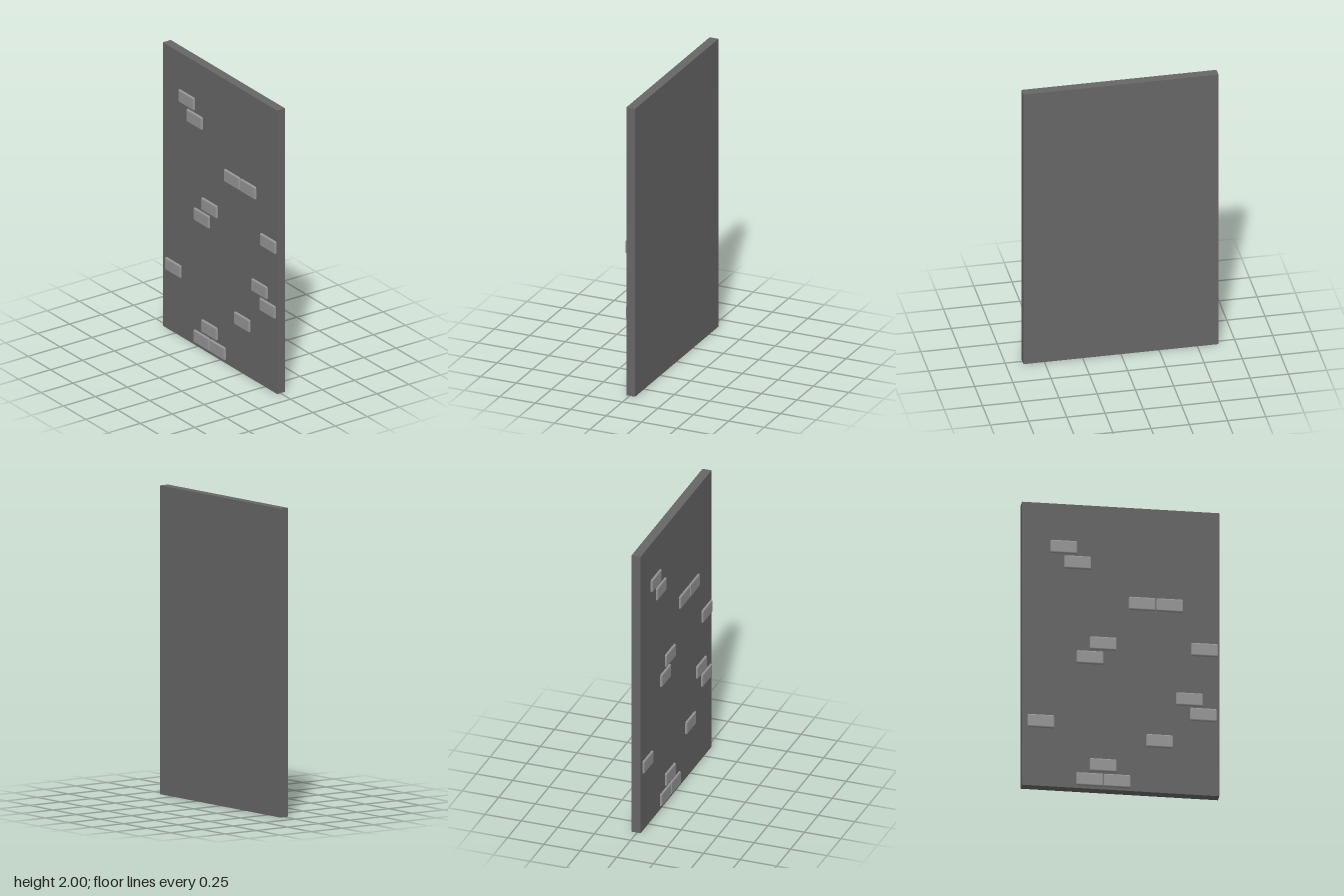
import * as THREE from 'three';
import { RoundedBoxGeometry } from 'three/addons/geometries/RoundedBoxGeometry.js';

export function createModel() {
  const group = new THREE.Group();
  const wallMaterial = new THREE.MeshStandardMaterial({ color: 0x666666 });
  const brickMaterial = new THREE.MeshStandardMaterial({ color: 0x959595 });

  // Plain wall slab
  const wall = new THREE.Mesh(new THREE.BoxGeometry(1.275, 2, 0.062), wallMaterial);
  wall.name = 'wall';
  wall.position.set(0, 1, -0.006);
  group.add(wall);

  // Exposed bricks with softened edges, half sunk into the wall: centre x, y
  const bricks = [
    [-0.368, 1.696], [-0.278, 1.592],
    [0.139, 1.326], [0.317, 1.326],
    [-0.113, 1.03], [-0.198, 0.926], [0.543, 1.026],
    [0.445, 0.67], [0.535, 0.567],
    [-0.516, 0.456], [0.252, 0.363],
    [-0.113, 0.169], [-0.2, 0.064], [-0.023, 0.064],
  ];
  const brickGeometry = new RoundedBoxGeometry(0.175, 0.092, 0.032, 2, 0.011);
  bricks.forEach(([x, y], i) => {
    const brick = new THREE.Mesh(brickGeometry, brickMaterial);
    brick.name = `brick${i + 1}`;
    brick.position.set(x, y, 0.021);
    group.add(brick);
  });

  return group;
}
